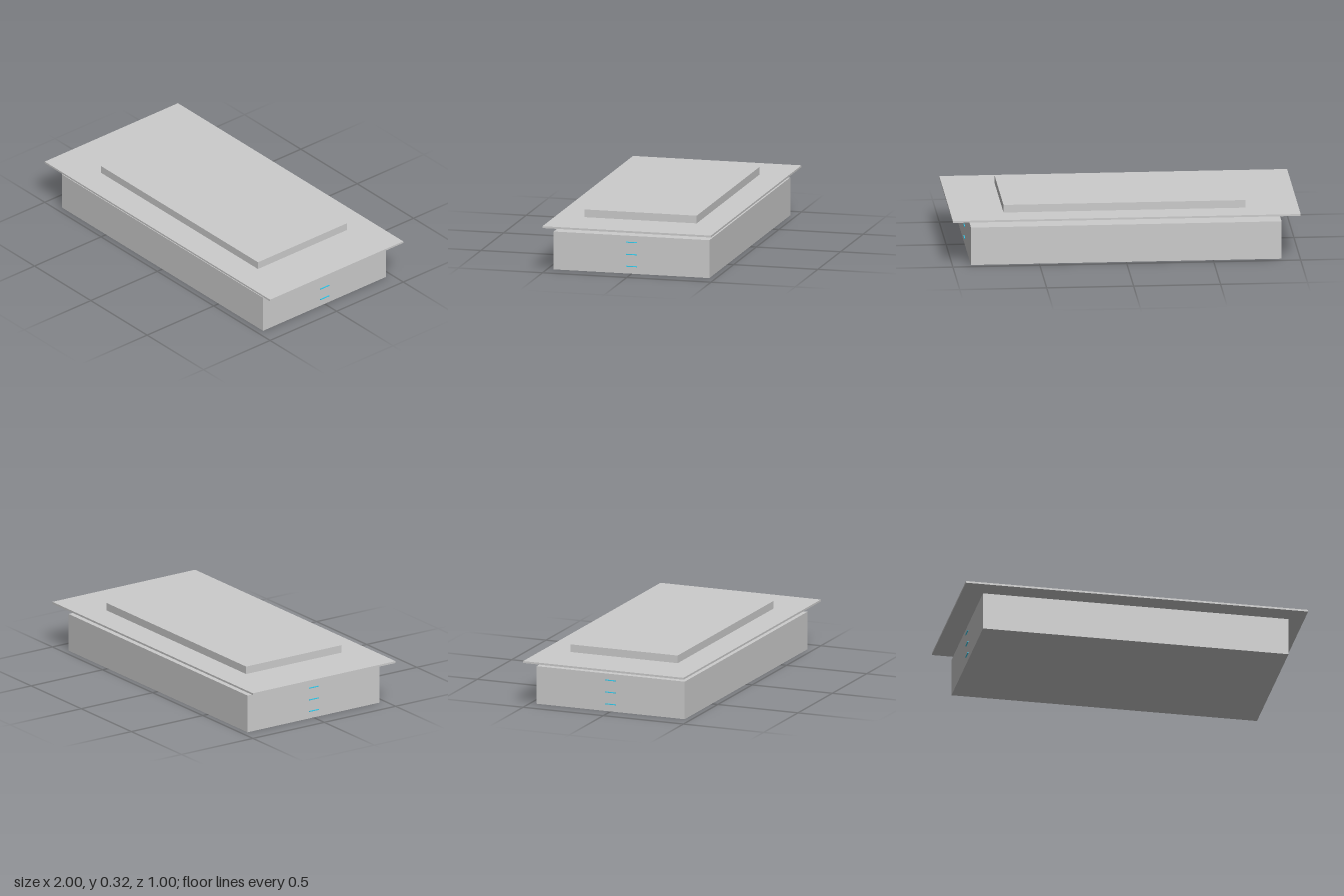
import * as THREE from 'three';

export function createModel() {
  const group = new THREE.Group();
  const grey = new THREE.MeshStandardMaterial({ color: 0xcccccc });
  const cyan = new THREE.MeshStandardMaterial({ color: 0x33ccee });

  // Box given by its full width and depth, and its bottom and top heights
  const slab = (name, width, depth, bottom, top, material = grey, x = 0) => {
    const mesh = new THREE.Mesh(new THREE.BoxGeometry(width, top - bottom, depth), material);
    mesh.name = name;
    mesh.position.set(x, (bottom + top) / 2, 0);
    group.add(mesh);
  };

  // Stacked slabs: base, raised core and the thin overhanging plate around it
  slab('base', 1.786, 0.924, 0, 0.222);
  slab('raisedCore', 1.392, 0.667, 0.222, 0.318);
  slab('overhangingPlate', 2, 1, 0.262, 0.273);

  // Three thin strips on each end of the base
  for (const side of [-1, 1]) {
    for (const y of [0.043, 0.113, 0.184]) {
      slab(side > 0 ? 'leftStrip' : 'rightStrip', 0.01, 0.066, y - 0.0025, y + 0.0025, cyan, side * 0.893);
    }
  }
  return group;
}
